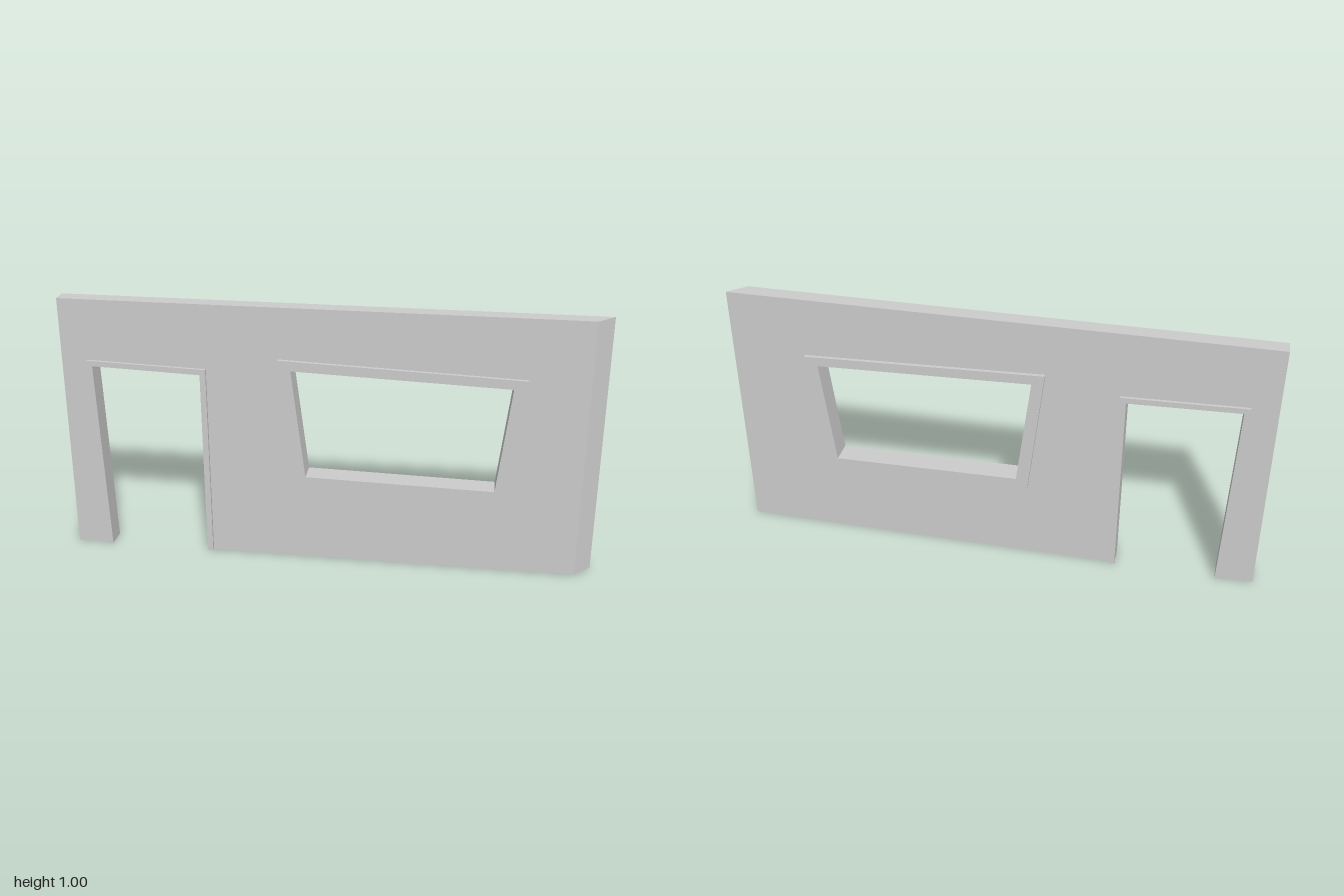
import * as THREE from 'three';

const material = new THREE.MeshStandardMaterial({ color: 0xcccccc, flatShading: true });
const points = (list) => list.map(([x, y]) => new THREE.Vector2(x, y));

// Extrudes a counter-clockwise outline (with optional holes) to a slab centred on z = 0.
function slab(name, outline, depth, holes = []) {
  const shape = new THREE.Shape(points(outline));
  for (const hole of holes) shape.holes.push(new THREE.Path(points(hole)));
  const geometry = new THREE.ExtrudeGeometry(shape, { depth, bevelEnabled: false });
  geometry.translate(0, 0, -depth / 2);
  const mesh = new THREE.Mesh(geometry, material);
  mesh.name = name;
  return mesh;
}

export function createModel() {
  const group = new THREE.Group();
  group.name = 'wallPanel';

  // Slanted outlines of the openings: outer and inner edge of each frame
  const doorOuter = [[-0.874, 0], [-0.903, 0.767], [-0.452, 0.753], [-0.452, 0]];
  const doorInner = [[-0.858, 0], [-0.882, 0.746], [-0.474, 0.732], [-0.474, 0]];
  const windowOuter = [[-0.127, 0.31], [0.664, 0.296], [0.719, 0.773], [-0.183, 0.805]];
  const windowInner = [[-0.083, 0.345], [0.622, 0.332], [0.668, 0.739], [-0.135, 0.766]];

  // Wall, notched for the door and pierced for the window
  const wall = slab('wall', [[1, 0], [1, 1], [-1, 1], [-1, 0], ...doorOuter], 0.061, [windowOuter]);
  // Mitre the end at +x: pull its front edge inwards
  const p = wall.geometry.attributes.position;
  for (let i = 0; i < p.count; i++) {
    if (p.getX(i) > 0.99 && p.getZ(i) > 0) p.setX(i, 0.938);
  }
  wall.geometry.computeVertexNormals();

  // Frames stand slightly proud of both wall faces
  const doorFrame = slab('doorFrame', [...[...doorInner].reverse(), ...doorOuter], 0.083);
  const windowFrame = slab('windowFrame', windowOuter, 0.088, [windowInner]);

  group.add(wall, doorFrame, windowFrame);
  return group;
}
